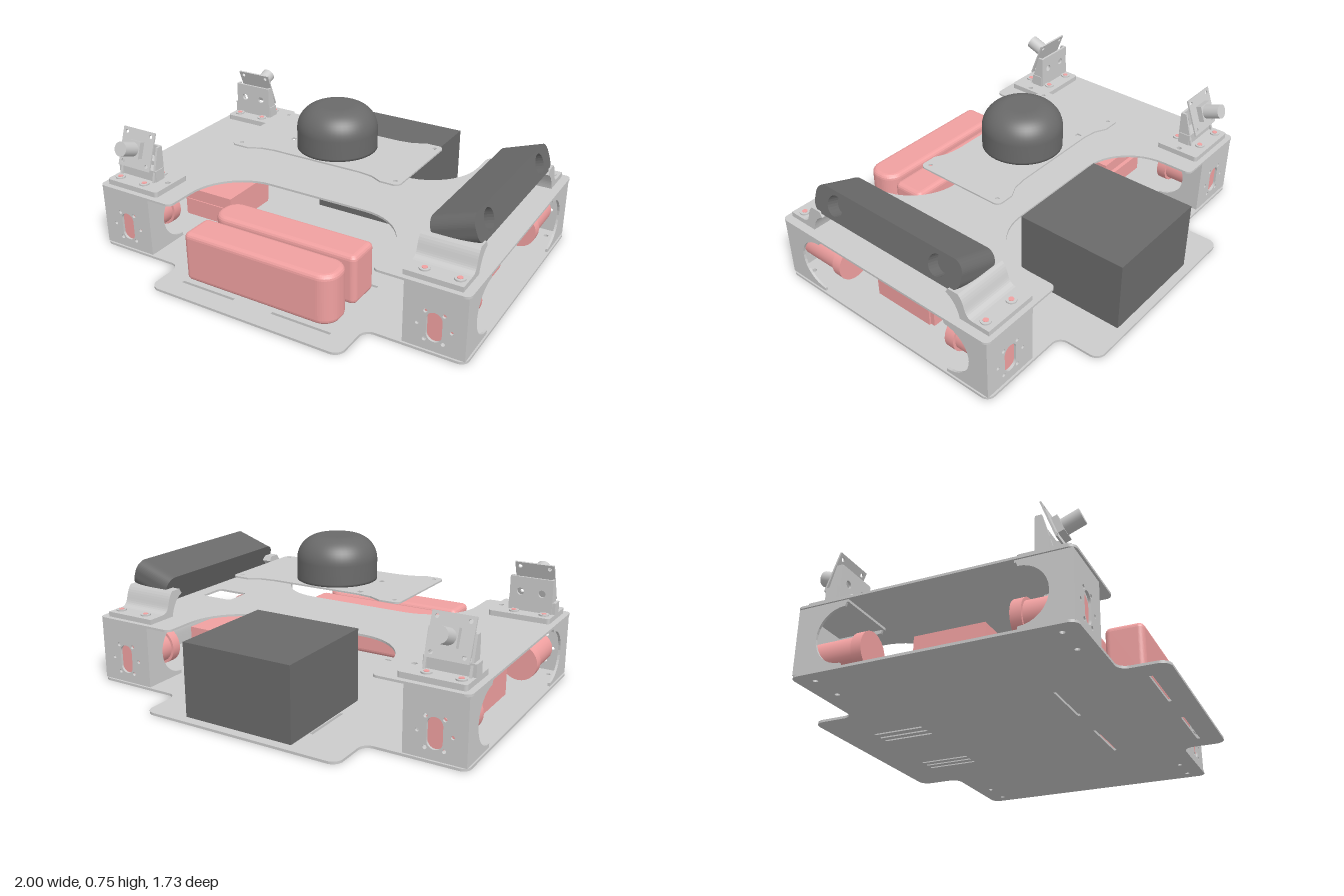
import * as THREE from 'three';

const mat = (color) => new THREE.MeshStandardMaterial({ color, side: THREE.DoubleSide });

// Closed outline from [x, y, cornerRadius] points, right-angled corners become arcs
function outline(points, Type = THREE.Shape) {
  const path = new Type();
  const n = points.length, k = 0.5523;
  points.forEach(([x, y, r = 0], i) => {
    const c = new THREE.Vector2(x, y);
    const near = (j) => {
      const p = points[(j + n) % n];
      return new THREE.Vector2(p[0], p[1]).sub(c).setLength(r).add(c);
    };
    const a = near(i - 1), b = near(i + 1);
    if (i === 0) path.moveTo(a.x, a.y); else path.lineTo(a.x, a.y);
    if (r > 0) {
      const ca = a.clone().lerp(c, k), cb = b.clone().lerp(c, k);
      path.bezierCurveTo(ca.x, ca.y, cb.x, cb.y, b.x, b.y);
    }
  });
  path.closePath();
  return path;
}
const rect = (x0, x1, y0, y1, r = 0, Type = THREE.Shape) =>
  outline([[x0, y0, r], [x1, y0, r], [x1, y1, r], [x0, y1, r]], Type);
const slot = (x0, x1, y0, y1, r = 0) => rect(x0, x1, y0, y1, r, THREE.Path);
const round = (x, y, r) => new THREE.Path().absarc(x, y, r, 0, Math.PI * 2, true);

export function createModel() {
  const model = new THREE.Group();
  const grey = mat(0xcccccc), dark = mat(0x6a6a6a), red = mat(0xf0a0a0);

  const add = (parent, name, geo, material, x = 0, y = 0, z = 0) => {
    const m = new THREE.Mesh(geo, material);
    m.name = name;
    m.position.set(x, y, z);
    parent.add(m);
    return m;
  };
  const extrude = (shape, depth, holes = [], opts = {}) => {
    shape.holes.push(...holes);
    return new THREE.ExtrudeGeometry(shape, { depth, bevelEnabled: false, curveSegments: 12, ...opts });
  };
  // Horizontal sheet: shape is drawn in x, z and hangs below yTop
  const sheet = (parent, name, shape, yTop, t, holes, material = grey) =>
    add(parent, name, extrude(shape, t, holes).rotateX(Math.PI / 2), material, 0, yTop, 0);
  // Upright profile: shape is drawn in z, y and runs from xMax towards -x
  const profile = (parent, name, shape, xMax, width, holes, material = grey) =>
    add(parent, name, extrude(shape, width, holes).rotateY(-Math.PI / 2), material, xMax, 0, 0);
  const box = (parent, name, x0, x1, y0, y1, z0, z1, material) =>
    add(parent, name, new THREE.BoxGeometry(x1 - x0, y1 - y0, z1 - z0), material,
      (x0 + x1) / 2, (y0 + y1) / 2, (z0 + z1) / 2);

  // Base plate with strap slots and corner screw holes
  const baseHoles = [slot(-0.285, -0.27, -0.68, -0.42)];
  for (const x of [-0.235, -0.19, 0.18, 0.225, 0.27]) baseHoles.push(slot(x, x + 0.015, -0.68, -0.42));
  for (const z of [0.312, 0.742]) {
    baseHoles.push(slot(-0.41, -0.11, z, z + 0.015), slot(0.1, 0.41, z, z + 0.015));
  }
  for (const x of [-0.93, -0.77, 0.77, 0.93]) for (const z of [-0.56, 0.56]) baseHoles.push(round(x, z, 0.012));
  sheet(model, 'basePlate', outline([
    [-1, -0.645, 0.04], [-0.52, -0.645, 0.05], [-0.52, -0.865, 0.05], [0.52, -0.865, 0.05],
    [0.52, -0.645, 0.05], [1, -0.645, 0.04], [1, 0.645, 0.04], [0.52, 0.645, 0.05],
    [0.52, 0.86, 0.05], [-0.52, 0.86, 0.05], [-0.52, 0.645, 0.05], [-1, 0.645, 0.04],
  ]), 0.012, 0.012, baseHoles);

  // Top plate with a rounded bay at the front and back
  sheet(model, 'topPlate', outline([
    [-1, -0.645, 0.03], [-0.55, -0.645, 0.03], [-0.55, -0.21, 0.28], [0.55, -0.21, 0.28],
    [0.55, -0.645, 0.03], [1, -0.645, 0.03], [1, 0.645, 0.03], [0.55, 0.645, 0.03],
    [0.55, 0.205, 0.28], [-0.55, 0.205, 0.28], [-0.55, 0.645, 0.03], [-1, 0.645, 0.03],
  ]), 0.335, 0.011, [slot(0.62, 0.8, -0.08, 0.07, 0.02)]);

  // Corner motor brackets and motors
  for (const sx of [-1, 1]) for (const sz of [-1, 1]) {
    const corner = new THREE.Group();
    corner.name = 'cornerBracket';
    model.add(corner);
    const cx = sx * 0.845;
    const holes = [slot(cx - 0.037, cx + 0.037, 0.06, 0.205, 0.036)];
    for (const dx of [-0.04, 0.04]) {
      for (const y of [0.062, 0.203]) holes.push(round(cx + dx * 1.1, y, 0.01));
      holes.push(round(cx + dx * 2, 0.132, 0.009));
    }
    add(corner, 'bracketFace', extrude(rect(cx - 0.147, cx + 0.147, 0.012, 0.325), 0.012, holes), grey,
      0, 0, sz * 0.629 - 0.006);
    for (const x of [cx - 0.135, cx + 0.147]) {
      const s = new THREE.Shape();
      s.moveTo(sz * 0.635, 0.012);
      s.lineTo(sz * 0.635, 0.325);
      s.lineTo(sz * 0.39, 0.325);
      s.lineTo(sz * 0.4, 0.295);
      for (let i = 1; i <= 16; i++) {
        const a = Math.PI / 2 - (i * Math.PI) / 16;
        s.lineTo(sz * (0.4 + 0.133 * Math.cos(a)), 0.162 + 0.133 * Math.sin(a));
      }
      s.lineTo(sz * 0.4, 0.012);
      profile(corner, 'bracketSide', s, x, 0.012);
    }
    add(corner, 'bracketTop', new THREE.BoxGeometry(0.294, 0.012, 0.25), grey, cx, 0.318, sz * 0.51);
    for (const [r, z, len] of [[0.08, 0.495, 0.24], [0.094, 0.367, 0.05]]) {
      add(corner, 'motor', new THREE.CylinderGeometry(r, r, len, 28).rotateX(Math.PI / 2), red, cx, 0.13, sz * z);
    }
  }

  // Motor controllers
  for (const [x0, x1] of [[-0.84, -0.54], [0.59, 0.84]]) {
    box(model, 'controller', x0, x1, 0.012, 0.167, -0.145, 0.19, red);
    box(model, 'controllerBase', x0 + 0.01, x1 - 0.01, 0.012, 0.105, -0.167, 0.196, red);
  }

  // Rear equipment box
  box(model, 'equipmentBox', -0.265, 0.31, 0.013, 0.375, -0.82, -0.25, dark);

  // Battery pair, each with one rounded end
  const b = 0.025;
  const battery = (z0, z1, rl, rr) => {
    const s = outline([[-0.405 + b, z0 + b, rl], [0.4 - b, z0 + b, rr], [0.4 - b, z1 - b, rr], [-0.405 + b, z1 - b, rl]]);
    const g = extrude(s, 0.255 - 2 * b, [], { bevelEnabled: true, bevelSize: b, bevelThickness: b, bevelSegments: 4 });
    add(model, 'battery', g.rotateX(Math.PI / 2), red, 0, 0.27 - b, 0);
  };
  battery(0.34, 0.52, 0.055, 0.004);
  battery(0.55, 0.73, 0.004, 0.055);

  // Raised scanner plate with waisted front and back edges
  const half = [[-0.47, 0.245], [-0.37, 0.245], [-0.31, 0.215], [-0.24, 0.205], [0.24, 0.205], [0.31, 0.215], [0.37, 0.245], [0.465, 0.245]];
  const waist = [...half, ...half.map(([x, z]) => [x, -z]).reverse()]
    .map(([x, z]) => [x, z, Math.abs(x) > 0.4 ? 0.03 : 0]);
  const plateHoles = [slot(-0.24, -0.218, -0.185, -0.16), slot(-0.24, -0.218, 0.03, 0.055)];
  for (const x of [-0.43, 0.43]) for (const z of [-0.21, 0.21]) plateHoles.push(round(x, z, 0.01));
  sheet(model, 'scannerPlate', outline(waist), 0.529, 0.008, plateHoles);

  // Scanner dome
  const dome = [new THREE.Vector2(0, 0.529), new THREE.Vector2(0.198, 0.529), new THREE.Vector2(0.198, 0.54)];
  for (let i = 0; i <= 12; i++) {
    const a = (i / 12) * Math.PI / 2;
    dome.push(new THREE.Vector2(0.078 + 0.12 * Math.cos(a), 0.628 + 0.118 * Math.sin(a)));
  }
  dome.push(new THREE.Vector2(0, 0.746));
  add(model, 'scannerDome', new THREE.LatheGeometry(dome, 48), dark);

  // Tilted camera bar with two recessed eyes
  const bar = new THREE.Group();
  bar.name = 'cameraBar';
  bar.position.set(0.83, 0.488, 0);
  bar.rotation.z = 0.33;
  model.add(bar);
  const barShape = () => rect(-0.45, 0.45, -0.07, 0.07, 0.055);
  profile(bar, 'barFront', barShape(), 0.105, 0.06, [round(-0.315, 0, 0.05), round(0.315, 0, 0.05)], dark);
  profile(bar, 'barBody', barShape(), 0.045, 0.15, [], dark);

  // Flange screws: a washer ring with a red core
  const screw = (parent, x, y, z) => {
    add(parent, 'washer', new THREE.CylinderGeometry(0.025, 0.025, 0.008, 18), grey, x, y, z);
    add(parent, 'screw', new THREE.CylinderGeometry(0.013, 0.013, 0.012, 14), red, x, y, z);
  };

  for (const s of [-1, 1]) {
    // Camera bar foot: flat flange sweeping up to the bar
    const foot = new THREE.Shape();
    foot.moveTo(s * 0.62, 0.335);
    foot.lineTo(s * 0.62, 0.36);
    foot.lineTo(s * 0.53, 0.36);
    foot.bezierCurveTo(s * 0.475, 0.365, s * 0.5, 0.42, s * 0.455, 0.465);
    foot.lineTo(s * 0.4, 0.465);
    foot.lineTo(s * 0.385, 0.44);
    foot.bezierCurveTo(s * 0.43, 0.42, s * 0.45, 0.38, s * 0.46, 0.335);
    const barFoot = new THREE.Group();
    barFoot.name = 'cameraBarFoot';
    model.add(barFoot);
    profile(barFoot, 'foot', foot, 0.958, 0.275);
    for (const x of [0.76, 0.92]) screw(barFoot, x, 0.363, s * 0.57);

    // Small sensor: foot, wedge upright, tilted board and lens
    const sensor = new THREE.Group();
    sensor.name = 'sensor';
    model.add(sensor);
    sheet(sensor, 'sensorFoot', rect(-0.97, -0.655, s * 0.5 - 0.117, s * 0.5 + 0.117, 0.015), 0.362, 0.027,
      [round(-0.68, s * 0.5, 0.013)]);
    for (const x of [-0.925, -0.77]) for (const z of [0.435, 0.57]) screw(sensor, x, 0.365, s * z);
    box(sensor, 'sensorRail', -0.97, -0.73, 0.36, 0.42, s * 0.495 - 0.03, s * 0.495 + 0.03, grey);
    // Upright back wall with two holes, and side gussets
    add(sensor, 'sensorUpright', extrude(rect(-0.955, -0.735, 0.36, 0.535, 0.01), 0.012,
      [round(-0.9, 0.46, 0.018), round(-0.79, 0.46, 0.018)]), grey, 0, 0, s * 0.465 - 0.006);
    for (const x of [-0.735, -0.943]) {
      profile(sensor, 'sensorGusset', outline([[s * 0.46, 0.36], [s * 0.54, 0.36], [s * 0.49, 0.535], [s * 0.46, 0.535]]), x, 0.012);
    }
    const head = new THREE.Group();
    head.name = 'sensorHead';
    head.position.set(-0.848, 0.513, s * 0.515);
    head.rotation.x = -s * 0.36;
    sensor.add(head);
    const corners = [];
    for (const x of [-0.075, 0.075]) for (const y of [-0.075, 0.075]) corners.push(round(x, y, 0.01));
    add(head, 'sensorBoard', extrude(rect(-0.1, 0.1, -0.098, 0.098), 0.008, corners), grey, 0, 0, -0.004);
    add(head, 'lensBase', new THREE.BoxGeometry(0.085, 0.085, 0.03), grey, 0, 0, s * 0.018);
    add(head, 'lens', new THREE.CylinderGeometry(0.037, 0.037, 0.12, 24).rotateX(Math.PI / 2), grey, 0, 0, s * 0.06);
  }

  return model;
}
